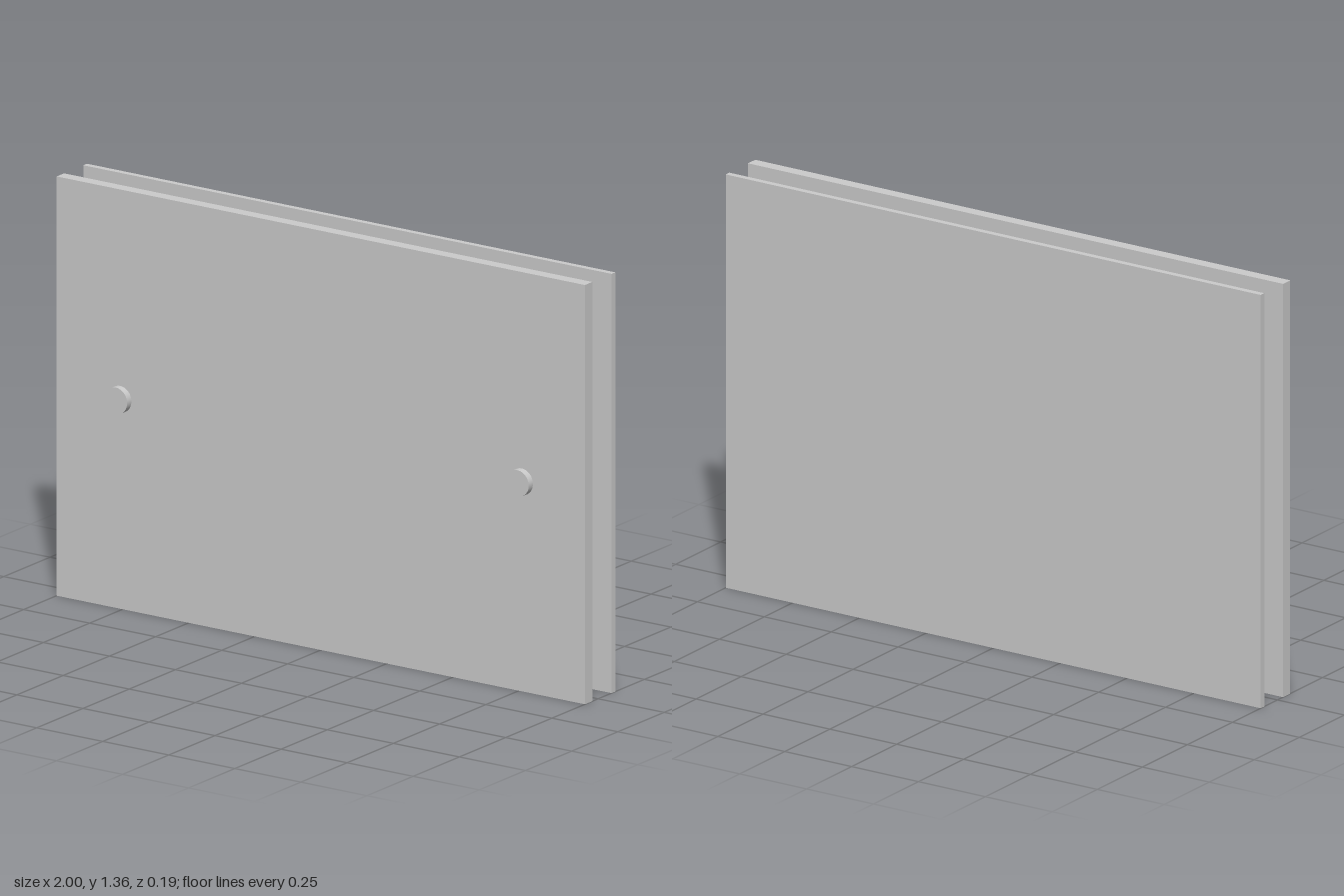
import * as THREE from 'three';

const HEIGHT = 1.36;
const material = new THREE.MeshStandardMaterial({ color: 0xcccccc });

function add(parent, name, geometry, x, y, z) {
  const mesh = new THREE.Mesh(geometry, material);
  mesh.name = name;
  mesh.position.set(x, y, z);
  parent.add(mesh);
}

// Flat sheet spanning two depths
function addPanel(parent, name, back, front) {
  add(parent, name, new THREE.BoxGeometry(2, HEIGHT, front - back), 0, HEIGHT / 2, (front + back) / 2);
}

// Round pin along z
function addPin(parent, name, radius, back, front) {
  const geometry = new THREE.CylinderGeometry(radius, radius, front - back, 48).rotateX(Math.PI / 2);
  add(parent, name, geometry, 0, 0, (front + back) / 2);
}

export function createModel() {
  const model = new THREE.Group();
  model.name = 'standoffPanelSign';

  addPanel(model, 'frontPanel', 0.031, 0.071);
  addPanel(model, 'backPanel', -0.093, -0.073);

  // One standoff on each side: spacer between the panels, cap on the front
  for (const [side, x] of [['left', 0.76], ['right', -0.76]]) {
    const standoff = new THREE.Group();
    standoff.name = side + 'Standoff';
    standoff.position.set(x, HEIGHT / 2, 0);
    addPin(standoff, 'spacer', 0.043, -0.073, 0.031);
    addPin(standoff, 'cap', 0.043, 0.071, 0.094);
    model.add(standoff);
  }
  return model;
}
